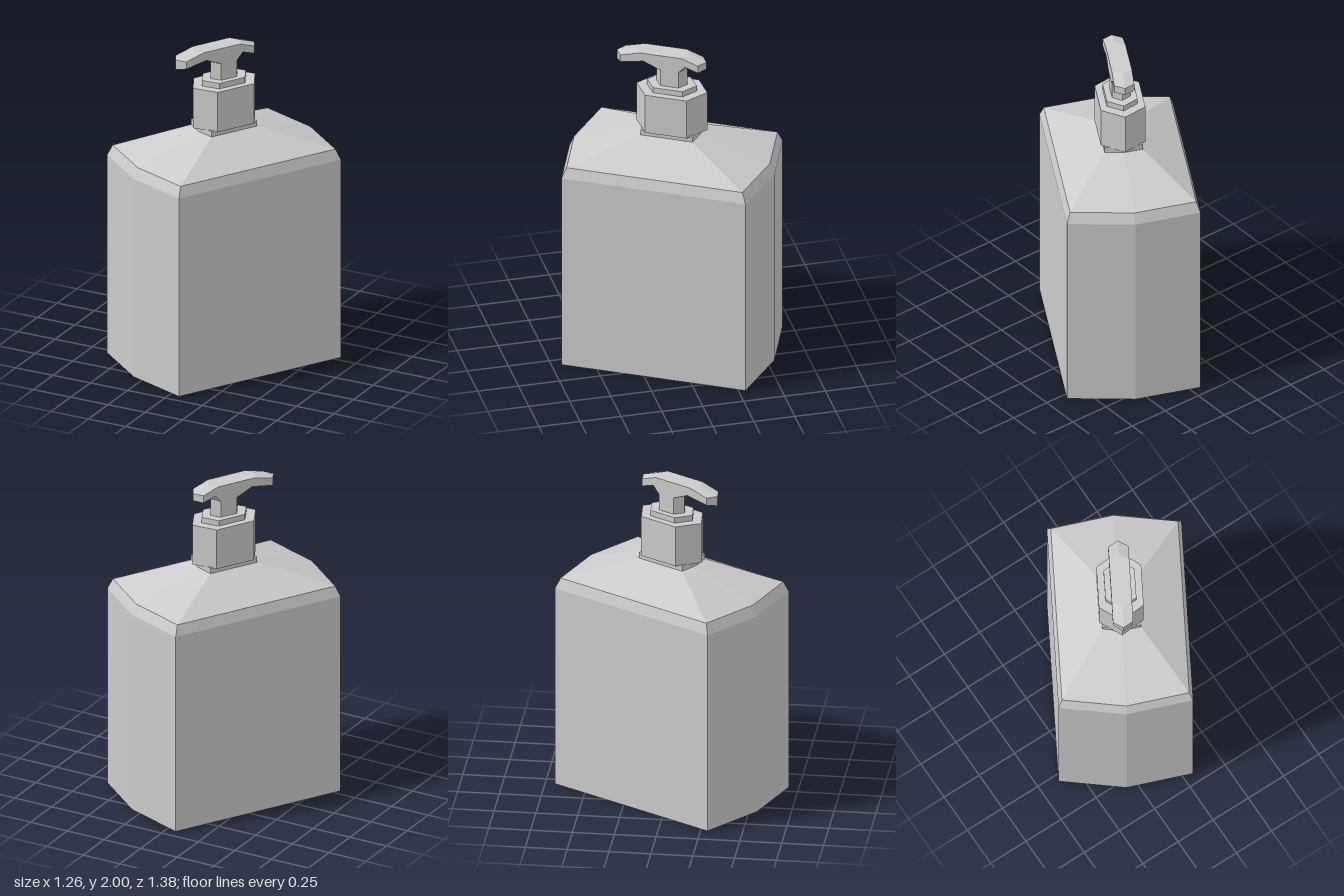
import * as THREE from 'three';

const material = new THREE.MeshStandardMaterial({ color: 0xcccccc, flatShading: true });

// Skin a stack of six-point rings and close both ends with two quads each.
function loft(name, rings) {
  const pos = [];
  const quad = (a, b, c, d) => [a, b, c, a, c, d].forEach(p => pos.push(...p));
  for (let r = 0; r < rings.length - 1; r++) {
    const lo = rings[r], hi = rings[r + 1];
    for (let i = 0; i < 6; i++) {
      const j = (i + 1) % 6;
      quad(lo[i], lo[j], hi[j], hi[i]);
    }
  }
  const s = rings[0], e = rings[rings.length - 1];
  quad(s[5], s[4], s[1], s[0]);
  quad(s[4], s[3], s[2], s[1]);
  quad(e[0], e[1], e[4], e[5]);
  quad(e[1], e[2], e[3], e[4]);
  const geometry = new THREE.BufferGeometry();
  geometry.setAttribute('position', new THREE.Float32BufferAttribute(pos, 3));
  geometry.computeVertexNormals();
  const mesh = new THREE.Mesh(geometry, material);
  mesh.name = name;
  return mesh;
}

// Horizontal hexagon: half width a, half length b at the corners, c at the points.
const hex = (y, a, b, c) => [
  [-a, y, b], [0, y, c], [a, y, b], [a, y, -b], [0, y, -c], [-a, y, -b],
];

// Straight hexagonal collar
const prism = (name, y0, y1, a, b, c) => loft(name, [hex(y0, a, b, c), hex(y1, a, b, c)]);

// Arrow-shaped slice of the pump head, its middle pushed outward.
function headRing([zTop, yTop, zBottom, yBottom, drop = 0]) {
  const w = 0.06, nose = Math.sign(zTop) * 0.037;
  return [
    [-w, yTop, zTop], [0, yTop, zTop + nose], [w, yTop, zTop],
    [w, yBottom, zBottom], [0, yBottom - drop, zBottom + nose], [-w, yBottom, zBottom],
  ];
}

export function createModel() {
  const model = new THREE.Group();
  model.name = 'pumpBottle';

  // Body, bevel, sloping shoulder and short neck
  model.add(loft('bottle', [
    hex(0, 0.4, 0.567, 0.632),
    hex(1.27, 0.4, 0.567, 0.632),
    hex(1.335, 0.378, 0.542, 0.603),
    hex(1.475, 0.115, 0.16, 0.178),
    hex(1.51, 0.115, 0.16, 0.178),
  ]));

  // Cap, flange and pump stem
  model.add(prism('cap', 1.505, 1.76, 0.133, 0.128, 0.218));
  model.add(prism('flange', 1.755, 1.795, 0.092, 0.09, 0.153));
  model.add(prism('stem', 1.79, 1.91, 0.056, 0.055, 0.094));

  // Pump head, from the nozzle tip to the thumb end
  model.add(loft('pumpHead', [
    [0.302, 1.968, 0.302, 1.922, 0.015],
    [0.18, 2, 0.16, 1.947],
    [0.055, 2, 0.055, 1.902],
    [-0.055, 2, -0.055, 1.902],
    [-0.075, 2, -0.095, 1.945],
    [-0.176, 1.965, -0.176, 1.918],
  ].map(headRing)));

  model.rotation.y = -Math.PI / 6;
  const group = new THREE.Group();
  group.add(model);
  return group;
}
